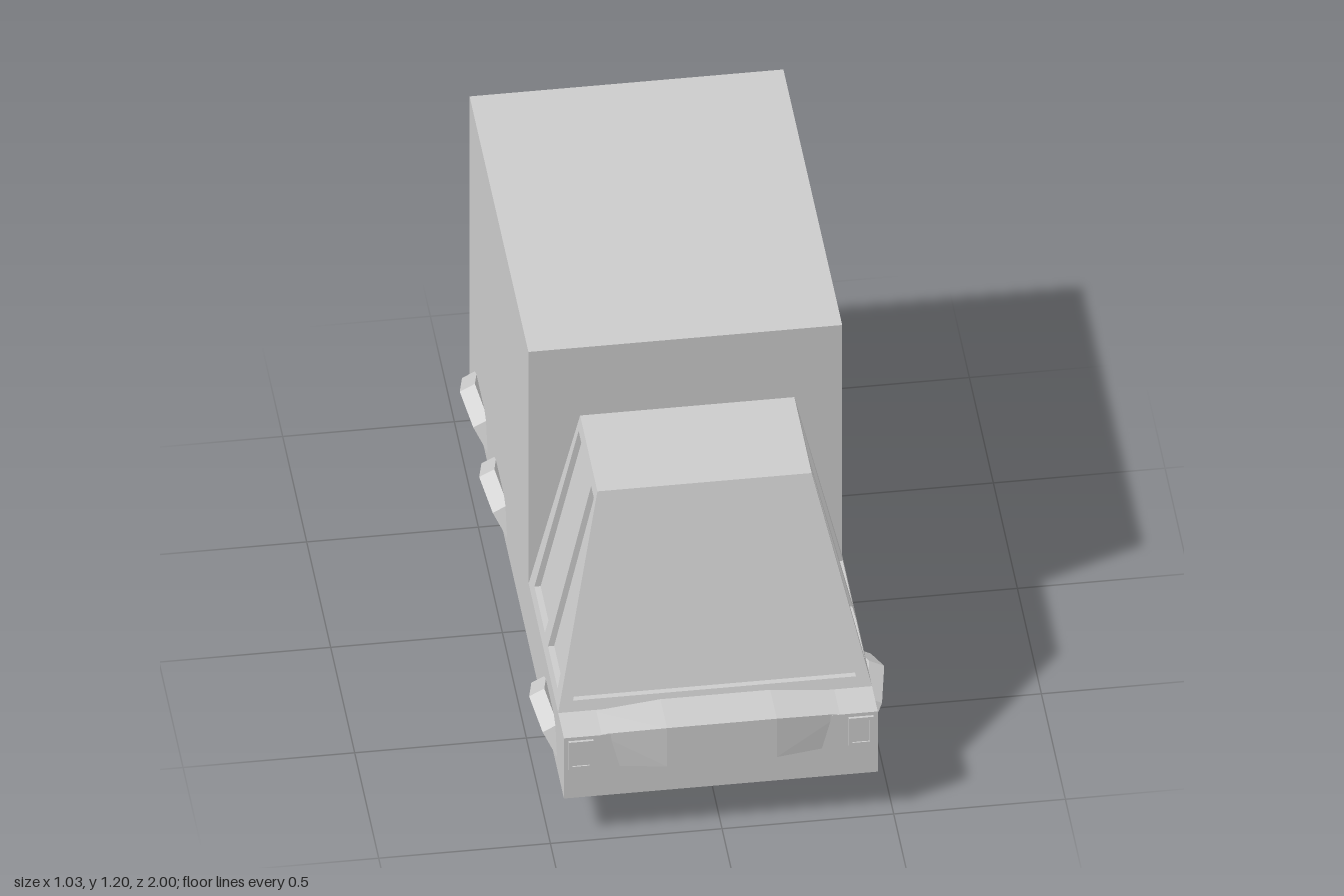
import * as THREE from 'three';
import { ConvexGeometry } from 'three/addons/geometries/ConvexGeometry.js';

const material = new THREE.MeshStandardMaterial({ color: 0xcccccc, flatShading: true });
const HALF = 0.457;                        // half width of the body
const BASE = 0.365, ROOF = 0.99;           // cab bottom and top
const INSET = 0.018;                       // how deep the glass sits

const slope = (y, a, b) => a + (b - a) * (y - BASE) / (ROOF - BASE);
const cabSide = y => slope(y, HALF, 0.312);
const cabFront = y => slope(y, 0.855, 0.635);
const cabBack = y => slope(y, 0.24, 0.275);

const toShape = pts => new THREE.Shape(pts.map(p => new THREE.Vector2(...p)));

function add(parent, name, geometry) {
  const mesh = new THREE.Mesh(geometry, material);
  mesh.name = name;
  parent.add(mesh);
  return mesh;
}

// Flat plate with window openings
function plate(outline, openings, depth) {
  const shape = toShape(outline);
  openings.forEach(o => shape.holes.push(toShape(o)));
  return new THREE.ExtrudeGeometry(shape, { depth, bevelEnabled: false });
}

// Move each vertex by a rule
function remap(geometry, rule) {
  const p = geometry.attributes.position;
  for (let i = 0; i < p.count; i++) p.setXYZ(i, ...rule(p.getX(i), p.getY(i), p.getZ(i)));
  geometry.computeVertexNormals();
  return geometry;
}

function buildCab() {
  const cab = new THREE.Group();
  cab.name = 'cab';

  // Inner block whose faces show as the recessed glass
  const core = [];
  for (const y of [BASE, ROOF - 0.005]) for (const s of [-1, 1]) {
    core.push(new THREE.Vector3(s * (cabSide(y) - INSET), y, cabFront(y) - INSET));
    core.push(new THREE.Vector3(s * (cabSide(y) - INSET), y, cabBack(y) + INSET));
  }
  add(cab, 'windowGlass', new ConvexGeometry(core));

  // Windscreen and rear window frames
  const across = [[-HALF, BASE], [HALF, BASE], [0.312, ROOF], [-0.312, ROOF]];
  const screen = [[-0.412, 0.397], [0.412, 0.397], [0.283, 0.957], [-0.283, 0.957]];
  add(cab, 'windscreenFrame', remap(plate(across, [screen], INSET + 0.002),
    (x, y, z) => [x, y, cabFront(y) - (INSET + 0.002) + z]));
  add(cab, 'rearWindowFrame', remap(plate(across, [screen], INSET + 0.002),
    (x, y, z) => [x, y, cabBack(y) + z]));

  // Door frames, two windows each
  const door = [[0.24, BASE], [0.855, BASE], [0.635, ROOF], [0.275, ROOF]];
  const openings = [
    [[0.585, 0.4], [0.785, 0.4], [0.618, 0.955], [0.563, 0.955]],
    [[0.302, 0.4], [0.52, 0.4], [0.53, 0.955], [0.302, 0.955]],
  ];
  const d = INSET + 0.002;
  add(cab, 'leftDoorFrame', remap(plate(door.map(([z, y]) => [-z, y]),
    openings.map(o => o.map(([z, y]) => [-z, y])), d),
    (u, y, t) => [cabSide(y) - d + t, y, -u]));
  add(cab, 'rightDoorFrame', remap(plate(door, openings, d),
    (u, y, t) => [-(cabSide(y) - d + t), y, u]));

  // Roof panel
  const roof = add(cab, 'roof', new THREE.BoxGeometry(0.624, 0.02, 0.36));
  roof.position.set(0, ROOF - 0.01, 0.455);
  return cab;
}

// Thin raised rim around a lamp, with the lens set inside
function buildLamp(name, w, h) {
  const lamp = new THREE.Group();
  lamp.name = name;
  const rect = (a, b) => [[-a, -b], [a, -b], [a, b], [-a, b]];
  const rim = 0.011;
  add(lamp, 'lampRim', plate(rect(w / 2, h / 2), [rect(w / 2 - rim, h / 2 - rim)], 0.008));
  add(lamp, 'lampLens', new THREE.BoxGeometry(w - rim, h - rim, 0.004)).position.z = 0.002;
  return lamp;
}

export function createModel() {
  const truck = new THREE.Group();
  truck.name = 'truck';

  // Cargo box and low chassis as one side profile
  const profile = [[-0.975, 0.145], [0.99, 0.145], [0.99, 1.197],
    [-0.235, 1.207], [-0.235, BASE], [-0.975, BASE]];
  const body = plate(profile, [], HALF * 2);
  body.translate(0, 0, -HALF);
  body.rotateY(Math.PI / 2);
  add(truck, 'body', body);

  truck.add(buildCab());

  // Faceted bulge over the nose
  const nose = [];
  for (const s of [-1, 1]) {
    for (const p of [[0.325, 0.247, 0.97], [0.16, 0.247, 0.997], [0.355, 0.364, 0.97],
      [0.16, 0.388, 0.998], [0.16, 0.386, 0.858], [0.355, 0.364, 0.858]])
      nose.push(new THREE.Vector3(s * p[0], p[1], p[2]));
  }
  add(truck, 'noseBulge', new ConvexGeometry(nose));

  for (const side of [-1, 1]) {
    const label = side > 0 ? 'left' : 'right';

    const head = buildLamp(label + 'Headlight', 0.072, 0.1);
    head.position.set(side * 0.408, 0.303, 0.975);
    truck.add(head);

    const tail = buildLamp(label + 'TailLight', 0.072, 0.13);
    tail.position.set(side * 0.37, 0.265, -0.99);
    tail.rotation.y = Math.PI;
    truck.add(tail);

    // Eight-sided wheels, leaning outwards at the top
    for (const z of [0.68, -0.36, -0.765]) {
      const wheel = add(truck, label + 'Wheel', new THREE.CylinderGeometry(0.166, 0.166, 0.05, 8));
      wheel.geometry.rotateZ(Math.PI / 2);
      wheel.position.set(side * 0.417, 0.163, z);
      wheel.rotation.z = -side * 0.49;
    }
  }
  return truck;
}
